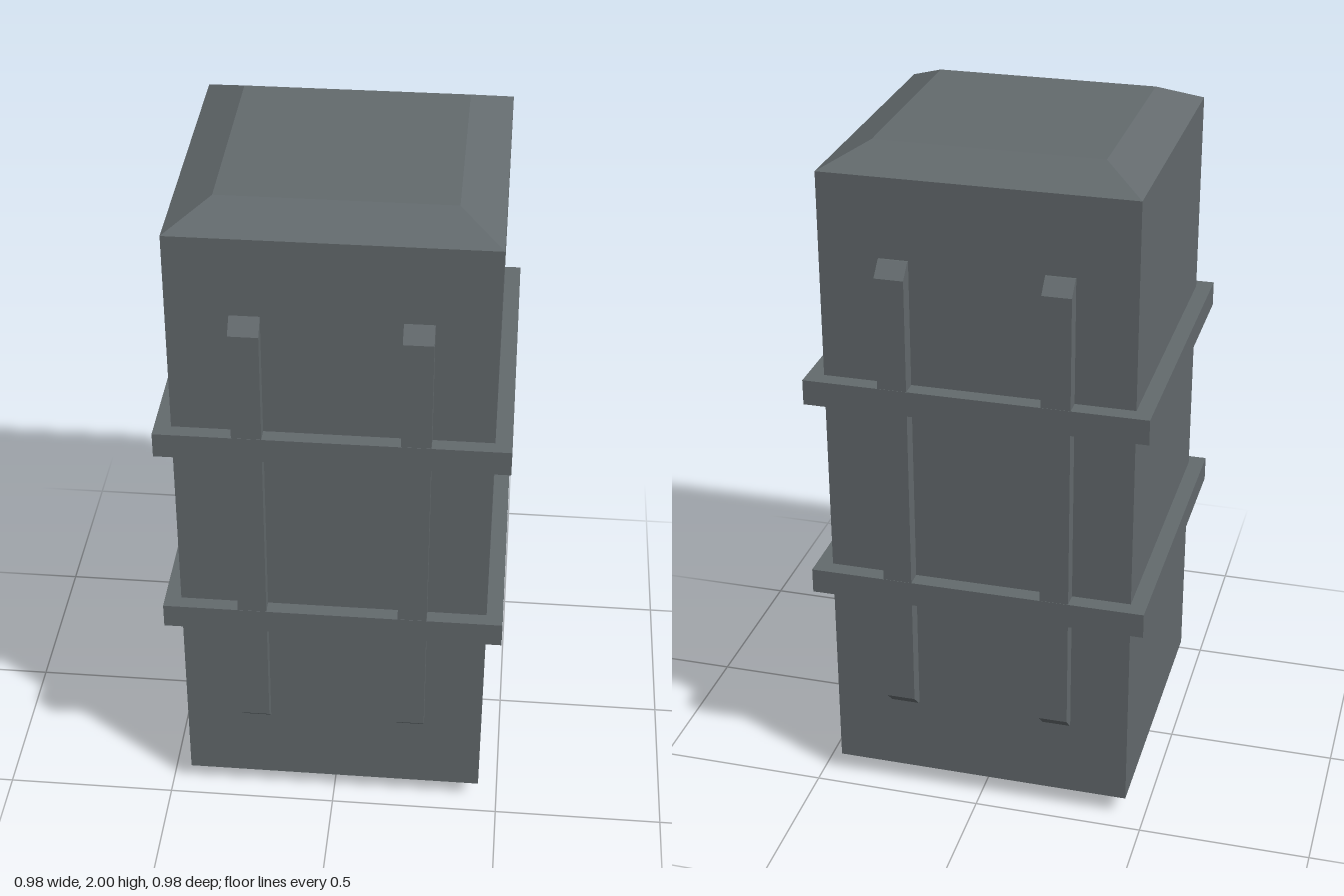
import * as THREE from 'three';

export function createModel() {
  const model = new THREE.Group();
  model.name = 'strappedCrate';
  const grey = new THREE.MeshStandardMaterial({ color: 0x636a6d });
  grey.name = 'slate grey';

  const add = (name, geometry, x = 0, y = 0, z = 0) => {
    const mesh = new THREE.Mesh(geometry, grey);
    mesh.name = name;
    mesh.position.set(x, y, z);
    model.add(mesh);
    return mesh;
  };

  // Tall block with bevelled top and bottom: rings of a segmented box are moved
  const rings = [[0, 0.322], [0.06, 0.443], [1.94, 0.443], [2, 0.322]];
  const box = new THREE.BoxGeometry(2, 3, 2, 1, 3, 1);
  const pos = box.attributes.position;
  for (let i = 0; i < pos.count; i++) {
    const [y, half] = rings[Math.round(pos.getY(i) + 1.5)];
    pos.setXYZ(i, pos.getX(i) * half, y, pos.getZ(i) * half);
  }
  const body = box.toNonIndexed();
  body.computeVertexNormals();
  add('body', body, 0, 0, 0.003);

  // Two bands running all the way round
  for (const [name, y] of [['lowerBand', 0.698], ['upperBand', 1.306]]) {
    add(name, new THREE.BoxGeometry(0.98, 0.074, 0.976), 0, y, 0);
  }

  // Upright ribs with slanted ends, two on the front and two on the back
  const profile = new THREE.Shape([
    [0.42, 0.295], [0.447, 0.295], [0.487, 0.335],
    [0.487, 1.67], [0.447, 1.71], [0.42, 1.71],
  ].map(([z, y]) => new THREE.Vector2(z, y)));
  const rib = new THREE.ExtrudeGeometry(profile, { depth: 0.083, bevelEnabled: false });
  rib.translate(0, 0, -0.0415);
  rib.rotateY(-Math.PI / 2);
  for (const x of [-0.231, 0.231]) {
    add('frontRib', rib, x);
    add('backRib', rib, x).rotation.y = Math.PI;
  }
  return model;
}
